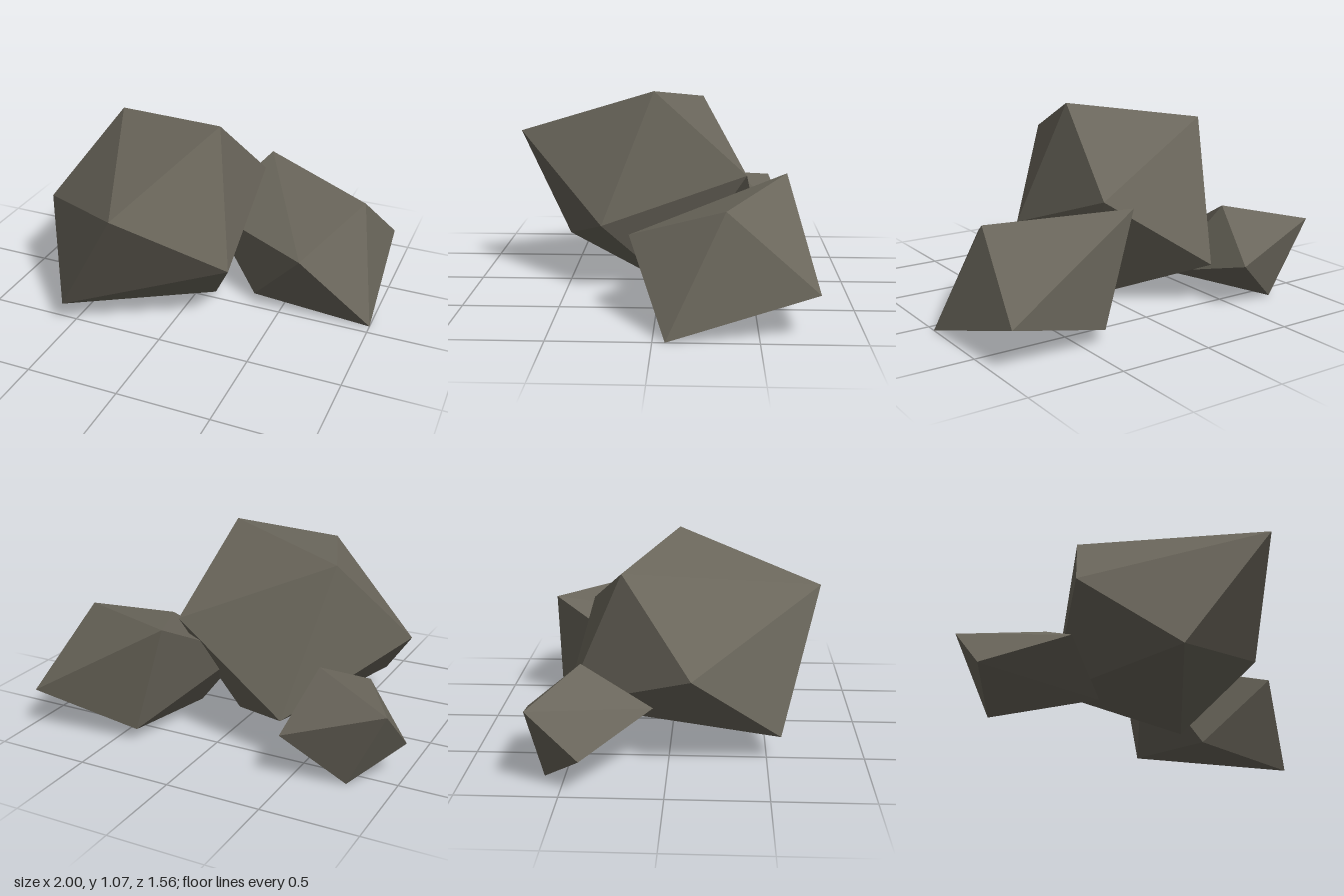
import * as THREE from 'three';
import { ConvexGeometry } from 'three/addons/geometries/ConvexGeometry.js';

// Each boulder is the convex hull of its few corner points.
const ROCKS = {
  largeRock: [
    [-0.54, 0.97, -0.23], [0.15, 1.07, 0.03], [-0.12, 0.82, 0.78],
    [0.31, 0.38, 0.30], [-0.54, 0.13, 0.57], [0.10, 0, -0.06],
    [-0.83, 0.52, 0.12], [0.24, 0.64, -0.46], [-0.39, 0.23, -0.55],
  ],
  mediumRock: [
    [0.64, 0.42, 0.13], [0.86, 0.59, -0.34], [0.21, 0.65, -0.67],
    [0.95, 0.22, -0.78], [1.0, 0, -0.06], [0.38, 0.07, -0.68],
    [0.32, 0.02, -0.10], [-0.02, 0.42, -0.24],
  ],
  smallRock: [
    [-0.98, 0.42, -0.65], [-1.0, 0.18, -0.40], [-0.47, 0.25, -0.73],
    [-0.77, 0, -0.60], [-0.55, 0.51, -0.44], [-0.68, 0.33, -0.07],
    [-0.36, 0.11, -0.21],
  ],
};

export function createModel() {
  const group = new THREE.Group();
  group.name = 'rockCluster';
  const stone = new THREE.MeshStandardMaterial({ color: 0x6a665b });
  stone.name = 'stone';

  for (const [name, corners] of Object.entries(ROCKS)) {
    // ConvexGeometry gives every facet its own flat normal
    const points = corners.map((c) => new THREE.Vector3(...c));
    const rock = new THREE.Mesh(new ConvexGeometry(points), stone);
    rock.name = name;
    group.add(rock);
  }
  return group;
}
